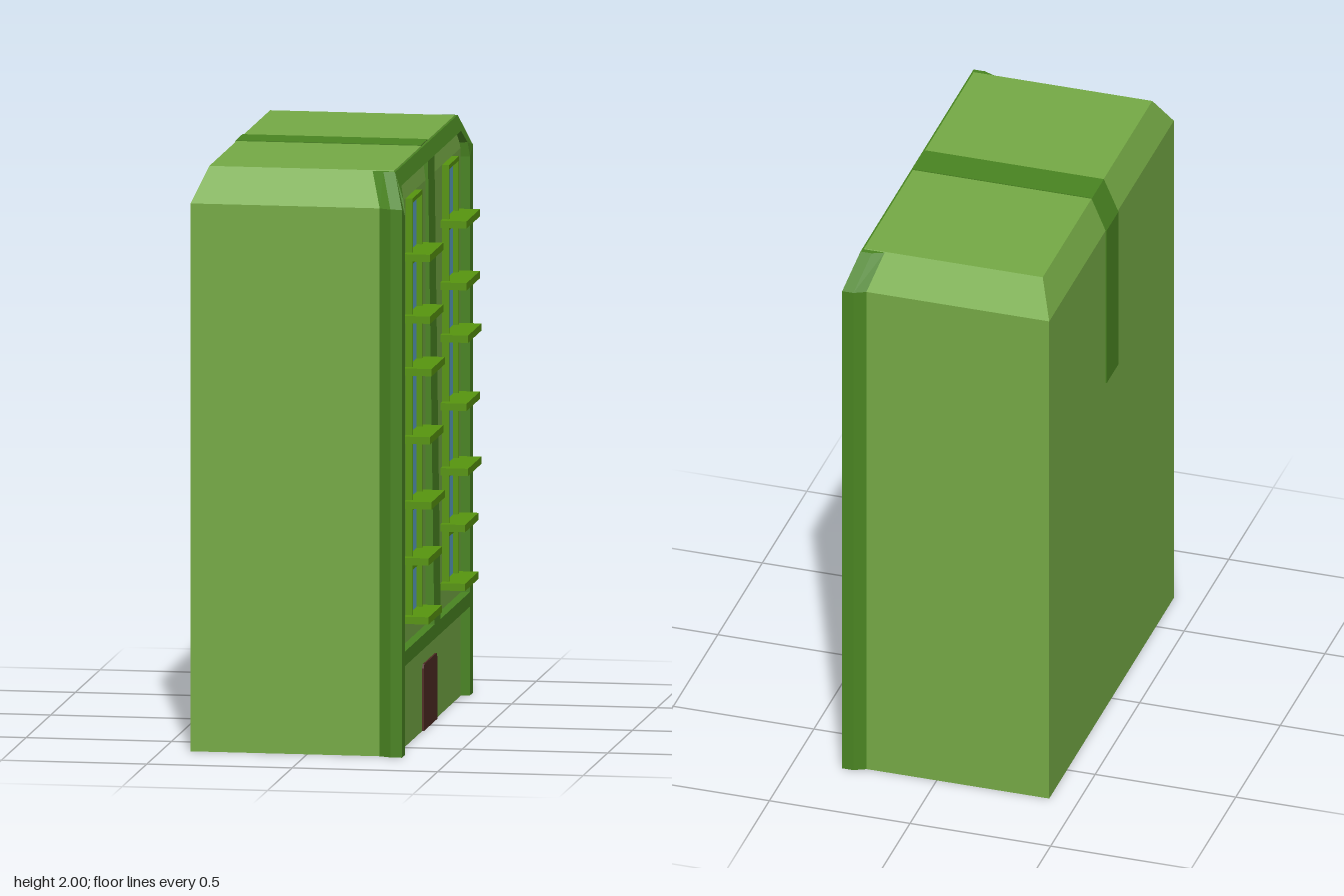
import * as THREE from 'three';
import { ConvexGeometry } from 'three/addons/geometries/ConvexGeometry.js';

const mat = (name, color) => new THREE.MeshStandardMaterial({ name, color });

export function createModel() {
  const wall = mat('wall green', 0x76ab46);
  const trim = mat('trim green', 0x4a8522);
  const ledge = mat('balcony green', 0x58960f);
  const glass = mat('window blue', 0x5ea2c8);
  const wood = mat('door brown', 0x4f2b24);

  const group = new THREE.Group();
  group.name = 'apartmentBlock';
  const add = (name, geometry, material) => {
    const mesh = new THREE.Mesh(geometry, material);
    mesh.name = name;
    group.add(mesh);
  };
  // box given by its limits
  const box = (x0, x1, y0, y1, z0, z1) =>
    new THREE.BoxGeometry(x1 - x0, y1 - y0, z1 - z0)
      .translate((x0 + x1) / 2, (y0 + y1) / 2, (z0 + z1) / 2);
  const shapeOf = (pts) => new THREE.Shape(pts.map((p) => new THREE.Vector2(...p)));
  // shape drawn as (-z, y), pushed out along +x from x0 to x1
  const facade = (shape, x0, x1, steps = 1) =>
    new THREE.ExtrudeGeometry(shape, { depth: x1 - x0, steps, bevelEnabled: false })
      .rotateY(Math.PI / 2).translate(x0, 0, 0);

  // main block with chamfered roof
  const corners = [];
  for (const s of [-1, 1]) {
    for (const [x, y, z] of [[-0.4, 0, 0.7], [0.3, 0, 0.7], [-0.4, 1.88, 0.7],
      [0.3, 1.88, 0.7], [-0.35, 1.997, 0.615], [0.285, 1.997, 0.615]]) {
      corners.push(new THREE.Vector3(x, y, z * s));
    }
  }
  add('building', new ConvexGeometry(corners), wall);

  // front frame: outline with a ground floor notch and two tall openings
  const frame = shapeOf([
    [-0.72, 0], [-0.66, 0], [-0.66, 0.305], [0.66, 0.305], [0.66, 0], [0.72, 0],
    [0.72, 1.88], [0.635, 1.995], [-0.635, 1.995], [-0.72, 1.88],
  ]);
  for (const s of [-1, 1]) {
    frame.holes.push(shapeOf([
      [0.065 * s, 0.355], [0.66 * s, 0.355], [0.66 * s, 1.85],
      [0.648 * s, 1.9], [0.605 * s, 1.945], [0.065 * s, 1.945],
    ]));
  }
  const frameGeo = facade(frame, 0.25, 0.33, 2);
  const p = frameGeo.attributes.position;
  for (let i = 0; i < p.count; i++) {
    const x = p.getX(i), y = p.getY(i), z = p.getZ(i);
    const inner = Math.abs(z) < 0.67 && y < 1.96;
    // flare the rear edge, bevel the openings, lean the top back
    if (Math.abs(z) > 0.5 && (x < 0.26 || (inner && x < 0.3))) p.setZ(i, z * 0.973);
    if (y > 1.88) p.setX(i, x - (y - 1.88) / 0.12 * 0.04);
  }
  frameGeo.computeVertexNormals();
  add('frontFrame', frameGeo, trim);

  // stripe over the roof and down the back
  const stripe = shapeOf([
    [0.285, 1.99], [0.285, 2], [-0.352, 2], [-0.404, 1.881], [-0.404, 1.28],
    [-0.395, 1.28], [-0.395, 1.878], [-0.345, 1.99],
  ]);
  add('roofStripe', new THREE.ExtrudeGeometry(stripe, { depth: 0.132, bevelEnabled: false })
    .translate(0, 0, -0.067), trim);

  // door with clipped top corners
  add('door', facade(shapeOf([
    [-0.137, 0], [0.137, 0], [0.137, 0.215], [0.125, 0.228], [-0.125, 0.228], [-0.137, 0.215],
  ]), 0.299, 0.306), wood);

  // floors: balcony top, window top, balcony reach
  const floors = [
    [0.45, 0.605, 0.385], [0.652, 0.81, 0.385], [0.845, 1.035, 0.395], [1.068, 1.27, 0.39],
    [1.302, 1.45, 0.395], [1.482, 1.655, 0.39], [1.694, 1.865, 0.39],
  ];
  for (const c of [-0.37, 0.37]) {
    const surround = shapeOf([[c - 0.1, 0.43], [c + 0.1, 0.43], [c + 0.1, 1.88], [c - 0.1, 1.88]]);
    for (const [y0, y1, reach] of floors) {
      surround.holes.push(shapeOf([
        [c - 0.087, y0], [c + 0.087, y0], [c + 0.087, y1], [c - 0.087, y1],
      ]));
      add('window', box(0.299, 0.306, y0, y1, c - 0.087, c + 0.087), glass);
      add('balcony', box(0.3, reach, y0 - 0.025, y0, c - 0.135, c + 0.135), ledge);
    }
    add('windowSurround', facade(surround, 0.299, 0.324), ledge);
  }
  return group;
}
